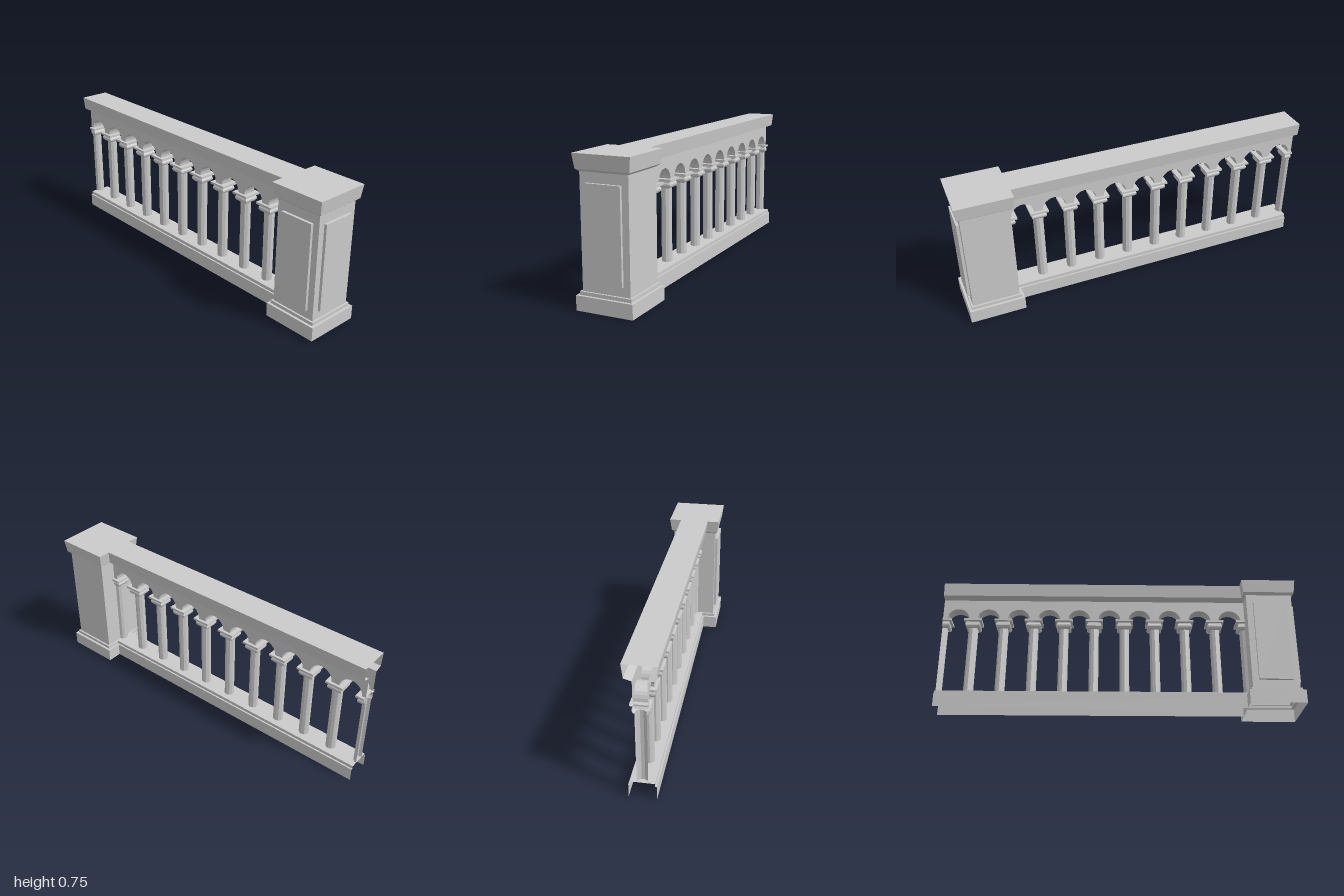
import * as THREE from 'three';

const PILLAR_Z = 0.848, PILLAR_FACE = 0.72, END_Z = -1, BAYS = 10;
const BAY = (PILLAR_FACE - END_Z) / BAYS;
const WALL_X = 0.035, SPRING_Y = 0.54, WALL_TOP = 0.662, ARCH_R = 0.064;

const stone = new THREE.MeshStandardMaterial({
  color: 0xcccccc, flatShading: true, side: THREE.DoubleSide,
});

function add(parent, name, geometry, x = 0, y = 0, z = 0) {
  const mesh = new THREE.Mesh(geometry, stone);
  mesh.name = name;
  mesh.position.set(x, y, z);
  parent.add(mesh);
  return mesh;
}

const toPoints = (profile) => profile.map(([a, b]) => new THREE.Vector2(a, b));

// Turned profile pushed out to a square plan; half keeps only the +z side
function squareLathe(profile, half = false) {
  const geo = half
    ? new THREE.LatheGeometry(toPoints(profile), 4, -Math.PI / 2, Math.PI)
    : new THREE.LatheGeometry(toPoints(profile), 8);
  const p = geo.attributes.position;
  for (let i = 0; i < p.count; i++) {
    const x = p.getX(i), z = p.getZ(i);
    const m = Math.max(Math.abs(x), Math.abs(z));
    if (m > 0) {
      const k = Math.hypot(x, z) / m;
      p.setXYZ(i, x * k, p.getY(i), z * k);
    }
  }
  geo.computeVertexNormals();
  return geo;
}

// Open moulding: half profile (x, y) mirrored across x and run along z
function moulding(halfProfile, z0, z1) {
  const outline = [...halfProfile, ...halfProfile.map(([x, y]) => [-x, y]).reverse()];
  const verts = [];
  for (let i = 0; i < outline.length - 1; i++) {
    const [ax, ay] = outline[i], [bx, by] = outline[i + 1];
    verts.push(ax, ay, z1, ax, ay, z0, bx, by, z0, ax, ay, z1, bx, by, z0, bx, by, z1);
  }
  const geo = new THREE.BufferGeometry();
  geo.setAttribute('position', new THREE.Float32BufferAttribute(verts, 3));
  geo.computeVertexNormals();
  return geo;
}

function createPillar() {
  const pillar = new THREE.Group();
  pillar.name = 'pillar';
  pillar.position.z = PILLAR_Z;
  add(pillar, 'pillarBase', squareLathe([[0.152, 0], [0.152, 0.075], [0.138, 0.075], [0.138, 0.093], [0.128, 0.093]]));
  add(pillar, 'pillarShaft', squareLathe([[0.128, 0.093], [0.128, 0.66]]));
  add(pillar, 'pillarCap', squareLathe([[0.128, 0.66], [0.143, 0.672], [0.152, 0.745], [0, 0.745]]));
  // Raised panels on the front and on the model's right
  add(pillar, 'frontPanel', new THREE.BoxGeometry(0.185, 0.47, 0.015), 0, 0.375, 0.1355);
  add(pillar, 'sidePanel', new THREE.BoxGeometry(0.015, 0.47, 0.185), -0.1355, 0.375, 0);
  return pillar;
}

// One bay of the pierced wall: two arched faces and the curved soffit
function createArchBay() {
  const bay = new THREE.Group();
  bay.name = 'archBay';
  const h = BAY / 2;
  const shape = new THREE.Shape();
  shape.moveTo(-h, SPRING_Y);
  shape.lineTo(-ARCH_R, SPRING_Y);
  shape.absarc(0, SPRING_Y, ARCH_R, Math.PI, 0, true);
  shape.lineTo(h, SPRING_Y);
  shape.lineTo(h, WALL_TOP);
  shape.lineTo(-h, WALL_TOP);
  shape.closePath();
  for (const side of [-1, 1]) {
    const face = new THREE.ShapeGeometry(shape, 6).rotateY(side * Math.PI / 2);
    add(bay, 'archFace', face, side * WALL_X);
  }
  const soffit = new THREE.CylinderGeometry(ARCH_R, ARCH_R, WALL_X * 2, 12, 1, true, 0, Math.PI);
  add(bay, 'archSoffit', soffit.rotateZ(Math.PI / 2), 0, SPRING_Y, 0);
  return bay;
}

// Faceted column with a square moulded capital
function createColumn(half) {
  const column = new THREE.Group();
  column.name = half ? 'halfColumn' : 'column';
  const shaft = toPoints([[0.028, 0.093], [0.028, 0.495]]);
  add(column, 'columnShaft', half
    ? new THREE.LatheGeometry(shaft, 5, -Math.PI / 2, Math.PI)
    : new THREE.LatheGeometry(shaft, 10, -Math.PI / 2));
  add(column, 'capital', squareLathe([
    [0.026, 0.488], [0.035, 0.492], [0.041, 0.502], [0.041, 0.511], [0.036, 0.52],
    [0.036, 0.527], [0.05, 0.528], [0.05, 0.54], [0, 0.54],
  ], half));
  return column;
}

export function createModel() {
  const model = new THREE.Group();
  model.name = 'balustrade';
  model.add(createPillar());

  // Hollow rails, open below and at the far end
  add(model, 'bottomRail', moulding([[0.069, 0], [0.069, 0.075], [0.06, 0.075], [0.06, 0.093]], END_Z, PILLAR_FACE));
  add(model, 'topRail', moulding([[WALL_X, 0.66], [0.074, 0.672], [0.083, 0.745]], END_Z, PILLAR_FACE));

  // Arcade with half columns at both ends
  for (let i = 0; i < BAYS; i++) {
    const bay = createArchBay();
    bay.position.z = PILLAR_FACE - (i + 0.5) * BAY;
    model.add(bay);
  }
  for (let i = 0; i <= BAYS; i++) {
    const column = createColumn(i === 0 || i === BAYS);
    column.position.z = PILLAR_FACE - i * BAY;
    if (i === 0) column.rotation.y = Math.PI;
    model.add(column);
  }
  return model;
}
